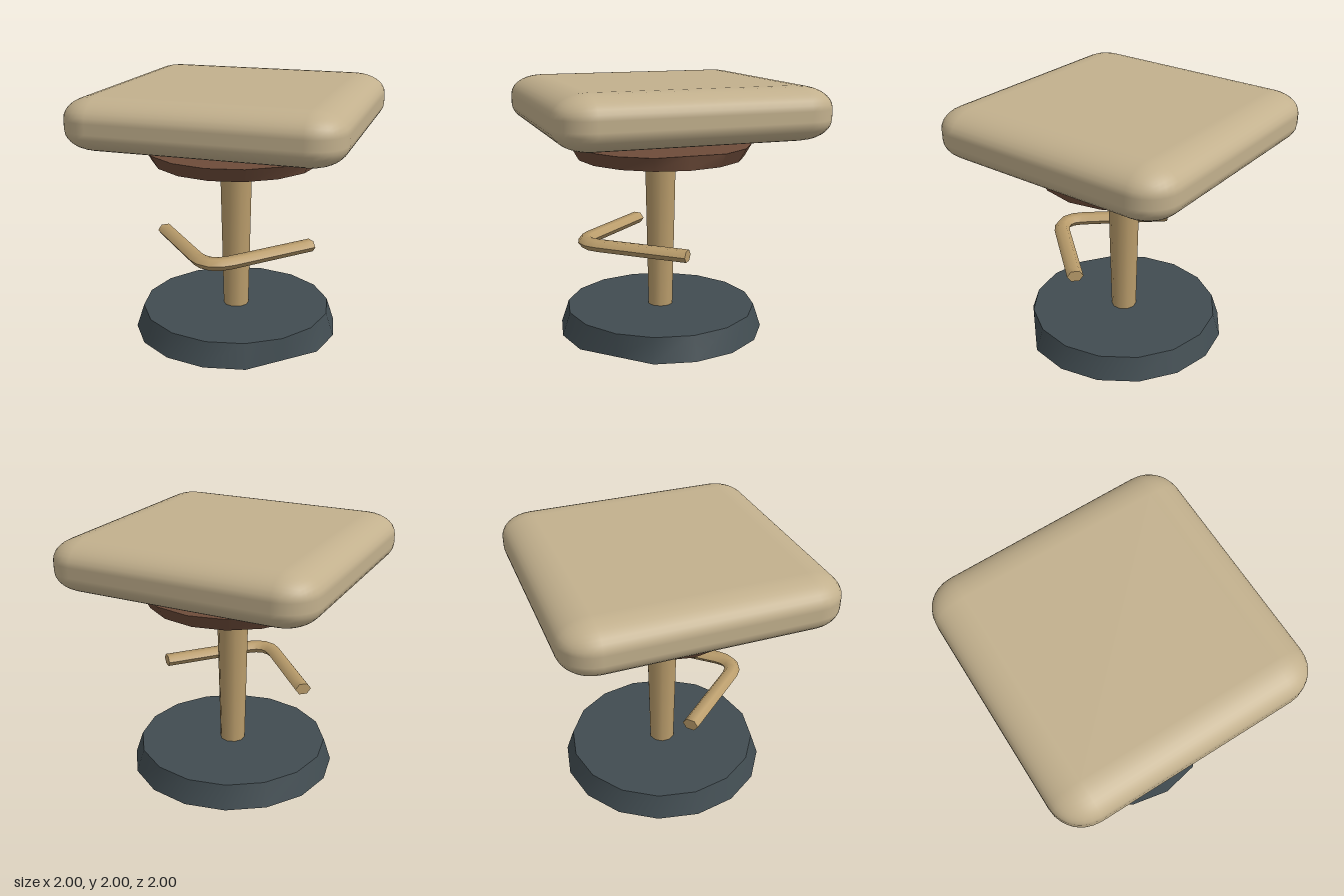
import * as THREE from 'three';
import { RoundedBoxGeometry } from 'three/addons/geometries/RoundedBoxGeometry.js';
import { toCreasedNormals } from 'three/addons/utils/BufferGeometryUtils.js';

const mat = (color) => new THREE.MeshStandardMaterial({ color });

function addPart(group, name, geometry, material, y = 0) {
  const mesh = new THREE.Mesh(geometry, material);
  mesh.name = name;
  mesh.position.y = y;
  group.add(mesh);
}

// 16-sided tapered disc; one corner (angle from +x towards +z) of the top or bottom ring is cut flat
function cutDisc(rTop, rBottom, height, cutAngle, cutTop) {
  const geo = new THREE.CylinderGeometry(rTop, rBottom, height, 16);
  const pos = geo.attributes.position;
  const shrink = Math.cos(Math.PI / 8);
  for (let i = 0; i < pos.count; i++) {
    const x = pos.getX(i), z = pos.getZ(i);
    const onRing = Math.hypot(x, z) > 0.01 && (pos.getY(i) > 0) === cutTop;
    if (onRing && Math.abs(Math.atan2(z, x) - cutAngle) < 0.1) {
      pos.setX(i, x * shrink);
      pos.setZ(i, z * shrink);
    }
  }
  return toCreasedNormals(geo, 0.7);
}

export function createModel() {
  const group = new THREE.Group();
  const wood = mat(0xb99c6b);

  // Cushion: rounded box, flattened so its rounding is elliptical
  const cushion = new RoundedBoxGeometry(2, 0.62, 2, 4, 0.25);
  cushion.scale(1, 0.385 / 0.62, 1);
  addPart(group, 'seatCushion', cushion, mat(0xc2b08d), 1.8075);

  // Plate under the seat and heavy foot
  addPart(group, 'seatPlate', cutDisc(0.7, 0.64, 0.105, 0, true), mat(0x6e4c3a), 1.4725);
  addPart(group, 'base', cutDisc(0.74, 0.8, 0.18, Math.PI / 4, false), mat(0x414c51), 0.14);

  // Tapered column
  const column = new THREE.CylinderGeometry(0.125, 0.094, 1.48, 10);
  addPart(group, 'column', toCreasedNormals(column, 0.8), wood, 0.74);

  // V-shaped footrest: flattened hexagonal bar with a rounded bend at the front
  const v = (x, z) => new THREE.Vector3(x, 0, z);
  const path = new THREE.CurvePath();
  path.add(new THREE.LineCurve3(v(0.6, 0), v(0.13, 0.53)));
  path.add(new THREE.QuadraticBezierCurve3(v(0.13, 0.53), v(0, 0.67), v(-0.13, 0.53)));
  path.add(new THREE.LineCurve3(v(-0.13, 0.53), v(-0.6, 0)));
  const section = new THREE.Shape();
  for (let i = 0; i < 6; i++) {
    const a = (i * Math.PI) / 3;
    section[i ? 'lineTo' : 'moveTo'](0.048 * Math.sin(a), 0.062 * Math.cos(a));
  }
  section.closePath();
  const bar = new THREE.ExtrudeGeometry(section, { steps: 24, extrudePath: path, bevelEnabled: false });
  addPart(group, 'footrest', toCreasedNormals(bar, 1.2), wood, 0.786);

  return group;
}
